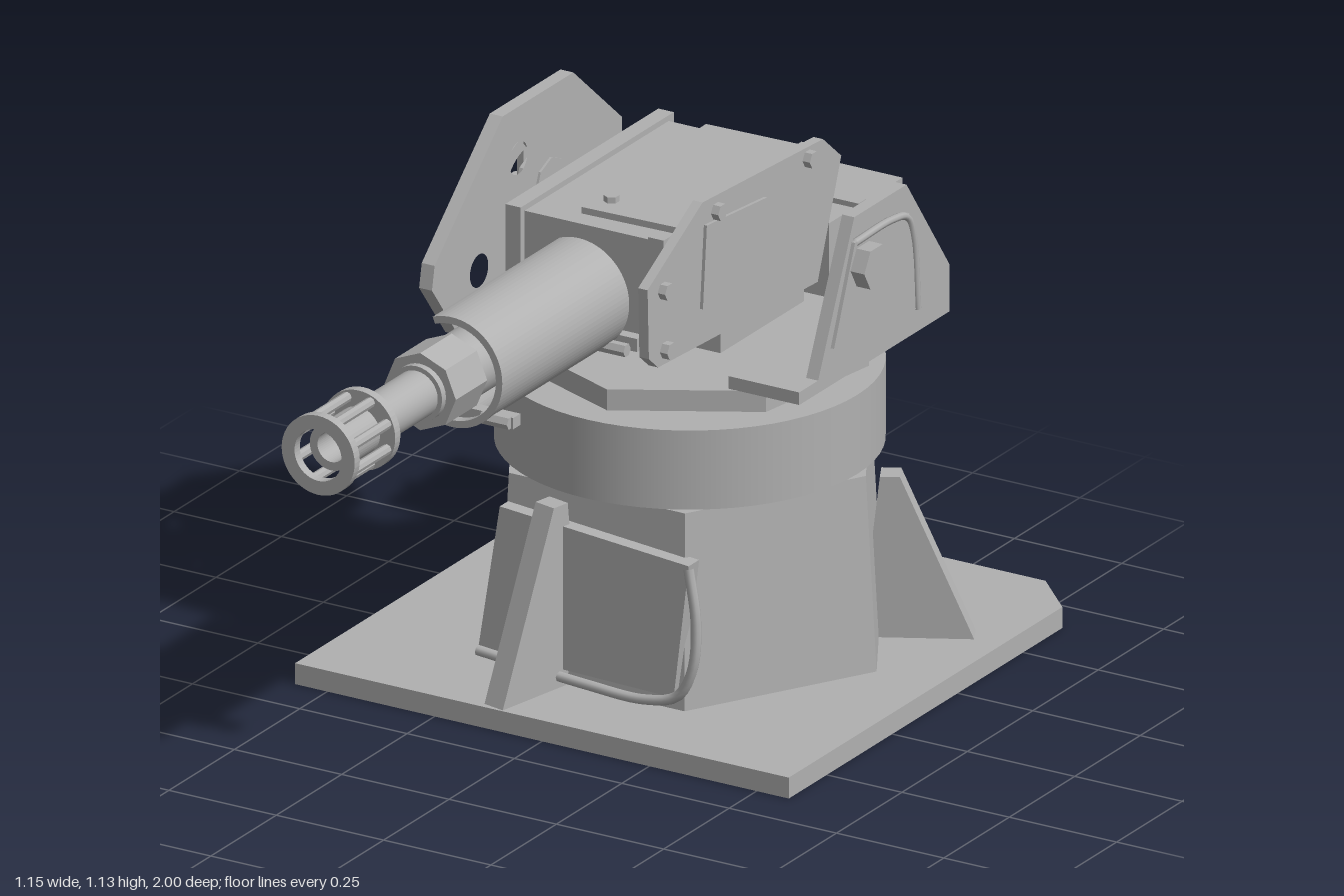
import * as THREE from 'three';

const grey = new THREE.MeshStandardMaterial({ color: 0xb0b0b0 });
grey.name = 'grey metal';
const CZ = -0.42;      // turret axis
const AXIS_Y = 0.915;  // barrel axis

export function createModel() {
  const root = new THREE.Group();

  const add = (name, geo, x = 0, y = 0, z = 0) => {
    const mesh = new THREE.Mesh(geo, grey);
    mesh.name = name;
    mesh.position.set(x, y, z);
    root.add(mesh);
    return mesh;
  };
  const flat = (geo) => {
    const g = geo.index ? geo.toNonIndexed() : geo;
    g.computeVertexNormals();
    return g;
  };
  // box given by its limits
  const box = (name, x0, x1, y0, y1, z0, z1) =>
    add(name, new THREE.BoxGeometry(x1 - x0, y1 - y0, z1 - z0), (x0 + x1) / 2, (y0 + y1) / 2, (z0 + z1) / 2);
  const shapeOf = (pts) => new THREE.Shape(pts.map(([a, b]) => new THREE.Vector2(a, b)));
  const extrude = (shape, depth) =>
    new THREE.ExtrudeGeometry(shape, { depth, bevelEnabled: false, curveSegments: 24 });
  const circle = (x, y, r) => new THREE.Path().absarc(x, y, r, 0, Math.PI * 2, true);
  // plate drawn as [z, y] points, spanning x0..x1, holes as [z, y, r]
  const sidePlate = (name, pts, x0, x1, holes = []) => {
    const s = shapeOf(pts.map(([z, y]) => [-z, y]));
    holes.forEach(([z, y, r]) => s.holes.push(circle(-z, y, r)));
    return add(name, extrude(s, x1 - x0).rotateY(Math.PI / 2), x0);
  };
  const rodX = (name, r, x0, x1, y, z, sides = 24) => {
    const g = new THREE.CylinderGeometry(r, r, x1 - x0, sides).rotateZ(Math.PI / 2);
    return add(name, sides < 9 ? flat(g) : g, (x0 + x1) / 2, y, z);
  };
  const rodZ = (name, r, z0, z1, x = 0, y = AXIS_Y, sides = 32) => {
    const g = new THREE.CylinderGeometry(r, r, z1 - z0, sides).rotateX(Math.PI / 2);
    return add(name, sides < 9 ? flat(g) : g, x, y, (z0 + z1) / 2);
  };
  const ringZ = (name, r, inner, z0, z1) => {
    const s = new THREE.Shape().absarc(0, 0, r, 0, Math.PI * 2);
    s.holes.push(circle(0, 0, inner));
    return add(name, extrude(s, z1 - z0), 0, AXIS_Y, z0);
  };
  const tube = (name, pts, r) =>
    add(name, new THREE.TubeGeometry(new THREE.CatmullRomCurve3(pts.map((p) => new THREE.Vector3(...p))), 40, r, 8));

  // base plate with one cut corner
  const plate = shapeOf([[-0.575, -0.145], [0.575, -0.145], [0.575, 0.9], [0.475, 1], [-0.575, 1]]);
  add('basePlate', extrude(plate, 0.045).rotateX(-Math.PI / 2));

  // pedestal, collar ring and turntable
  add('pedestal', flat(new THREE.CylinderGeometry(0.41, 0.435, 0.415, 6).rotateY(Math.PI / 2)), 0, 0.2525, CZ);
  add('collarRing', new THREE.CylinderGeometry(0.39, 0.39, 0.17, 64), 0, 0.545, CZ);
  add('turntable', flat(new THREE.CylinderGeometry(0.365, 0.365, 0.045, 7).rotateY(0.07)), 0, 0.6675, -0.425);
  add('turntableShaft', new THREE.CylinderGeometry(0.15, 0.15, 0.03, 24), 0, 0.635, CZ);

  // gussets around the pedestal
  [[-102, 0.435], [152, 0.39], [28, 0.39]].forEach(([deg, top]) => {
    const s = shapeOf([[0.34, 0.04], [0.57, 0.04], [0.42, top], [0.38, top]]);
    add('gusset', extrude(s, 0.05).translate(0, 0, -0.025), 0, 0, CZ).rotation.y = THREE.MathUtils.degToRad(deg);
  });

  // access panel on the pedestal front, with its bent rail
  const panel = shapeOf([[-0.205, 0.4], [-0.255, 0.085], [0.2, 0.075], [0.235, 0.365]]);
  add('accessPanel', extrude(panel, 0.04), 0, 0, -0.07);
  tube('panelRail', [[0.235, 0.36, -0.03], [0.255, 0.25, -0.025], [0.25, 0.15, -0.02], [0.215, 0.085, -0.02],
    [0.14, 0.062, -0.02], [0, 0.065, -0.02], [-0.25, 0.085, -0.02]], 0.011);

  // right-hand holed plate carrying the handwheel
  sidePlate('wheelPlate', [[-0.15, 0.69], [-0.05, 0.82], [-0.06, 0.87], [-0.32, 1.1], [-0.59, 1.1],
    [-0.775, 0.94], [-0.775, 0.8], [-0.68, 0.69]], -0.405, -0.375,
  [[-0.38, 0.99, 0.035], [-0.23, 0.8, 0.035], [-0.59, 0.765, 0.035]]);
  const rim = new THREE.Shape().absarc(0.5, 0.87, 0.122, 0, Math.PI * 2);
  rim.holes.push(circle(0.5, 0.87, 0.092));
  add('handwheelRim', extrude(rim, 0.025).rotateY(Math.PI / 2), -0.45);
  for (let i = 0; i < 3; i++) {
    const g = new THREE.BoxGeometry(0.016, 0.1, 0.022).translate(0, 0.05, 0);
    add('handwheelSpoke', g, -0.437, 0.87, -0.5).rotation.x = (i * Math.PI * 2) / 3;
  }
  rodX('handwheelHub', 0.03, -0.46, -0.37, 0.87, -0.5);
  rodX('handwheelBoss', 0.06, -0.42, -0.37, 0.89, -0.5, 8);
  rodX('handwheelHandle', 0.02, -0.49, -0.42, 0.983, -0.5, 12);

  // left-hand bracket with foot, cover panel, bent rail and bolt
  sidePlate('bracket', [[-0.25, 0.69], [-0.4, 1.02], [-0.6, 1.02], [-0.765, 0.79], [-0.765, 0.69]], 0.367, 0.395);
  box('bracketFoot', 0.23, 0.395, 0.69, 0.717, -0.76, -0.19);
  sidePlate('bracketPanel', [[-0.31, 0.77], [-0.39, 0.97], [-0.6, 0.96], [-0.63, 0.745]], 0.395, 0.403);
  tube('bracketRail', [[0.402, 0.97, -0.39], [0.402, 0.97, -0.53], [0.402, 0.955, -0.59],
    [0.402, 0.9, -0.615], [0.402, 0.745, -0.63]], 0.008);
  rodX('bracketBolt', 0.047, 0.395, 0.435, 0.915, CZ, 6);

  // receiver: body, cheeks, trunnion and mount
  box('receiver', -0.15, 0.155, 0.825, 1.048, -0.58, -0.03);
  [[-0.183, -0.147], [0.15, 0.186]].forEach(([x0, x1]) => box('receiverCheek', x0, x1, 0.82, 1.06, -0.6, -0.015));
  box('receiverLip', -0.13, 0.13, 0.812, 0.84, -0.03, -0.005);
  rodX('trunnion', 0.03, -0.21, 0.225, 0.915, CZ, 6);
  rodX('trunnionNut', 0.045, -0.2, -0.18, 0.915, CZ, 6);
  box('receiverLug', -0.22, -0.18, 0.84, 0.862, -0.3, -0.05);
  box('mount', -0.12, 0.12, 0.69, 0.83, -0.66, -0.34);

  // loose top lid
  const lid = box('topLid', -0.02, 0.195, 1.072, 1.086, -0.53, -0.03);
  lid.rotation.y = 0.03;
  box('lidSpacer', 0.06, 0.12, 1.04, 1.074, -0.35, -0.25);
  add('lidBolt', flat(new THREE.CylinderGeometry(0.016, 0.016, 0.014, 6)), 0.022, 1.092, -0.085);

  // armour side plate with raised patch and bolts
  sidePlate('armourPlate', [[0.1, 0.84], [0.135, 0.87], [0.14, 1.02], [-0.07, 1.135], [-0.53, 1.11], [-0.6, 1.05],
    [-0.51, 0.81]], 0.221, 0.243);
  sidePlate('armourPatch', [[-0.06, 0.91], [-0.075, 1.085], [-0.305, 1.065], [-0.29, 0.88]], 0.243, 0.25);
  [[-0.12, 1.1], [0.083, 1], [0.075, 0.87], [-0.47, 1.09]].forEach(([z, y]) =>
    rodX('armourBolt', 0.018, 0.24, 0.26, y, z, 6));

  // rear ammunition box
  box('ammoBox', -0.205, 0.16, 0.695, 0.855, -0.97, -0.69);
  box('ammoBoxStrap', -0.215, 0.17, 0.69, 0.866, -0.815, -0.785);

  // barrel, open shroud, crossbar and collar
  rodZ('innerBarrel', 0.07, -0.03, 0.49);
  rodZ('barrel', 0.05, 0.49, 0.84);
  const a = THREE.MathUtils.degToRad(112);
  const shroud = new THREE.Shape().absarc(0, 0, 0.118, -a, a, false);
  shroud.absarc(0, 0, 0.103, a, -a, true);
  add('barrelShroud', extrude(shroud, 0.485), 0, AXIS_Y, 0.005);
  box('crossbar', -0.13, 0.13, 0.812, 0.836, 0.44, 0.468);
  [0.025, 0.47].forEach((z) => rodX('shroudBolt', 0.014, 0.06, 0.125, 0.825, z, 6));
  rodZ('barrelCollar', 0.083, 0.49, 0.61, 0, AXIS_Y, 8);
  rodZ('barrelStep', 0.06, 0.61, 0.625);

  // muzzle cage
  ringZ('muzzleRearRing', 0.085, 0.045, 0.825, 0.845);
  ringZ('muzzleFrontRing', 0.085, 0.055, 0.98, 1);
  ringZ('muzzleBore', 0.05, 0.032, 0.835, 0.95);
  for (let i = 0; i < 8; i++) {
    const t = (i * Math.PI) / 4 + Math.PI / 8;
    rodZ('muzzleBar', 0.011, 0.84, 0.985, Math.cos(t) * 0.071, AXIS_Y + Math.sin(t) * 0.071, 8);
  }
  return root;
}
